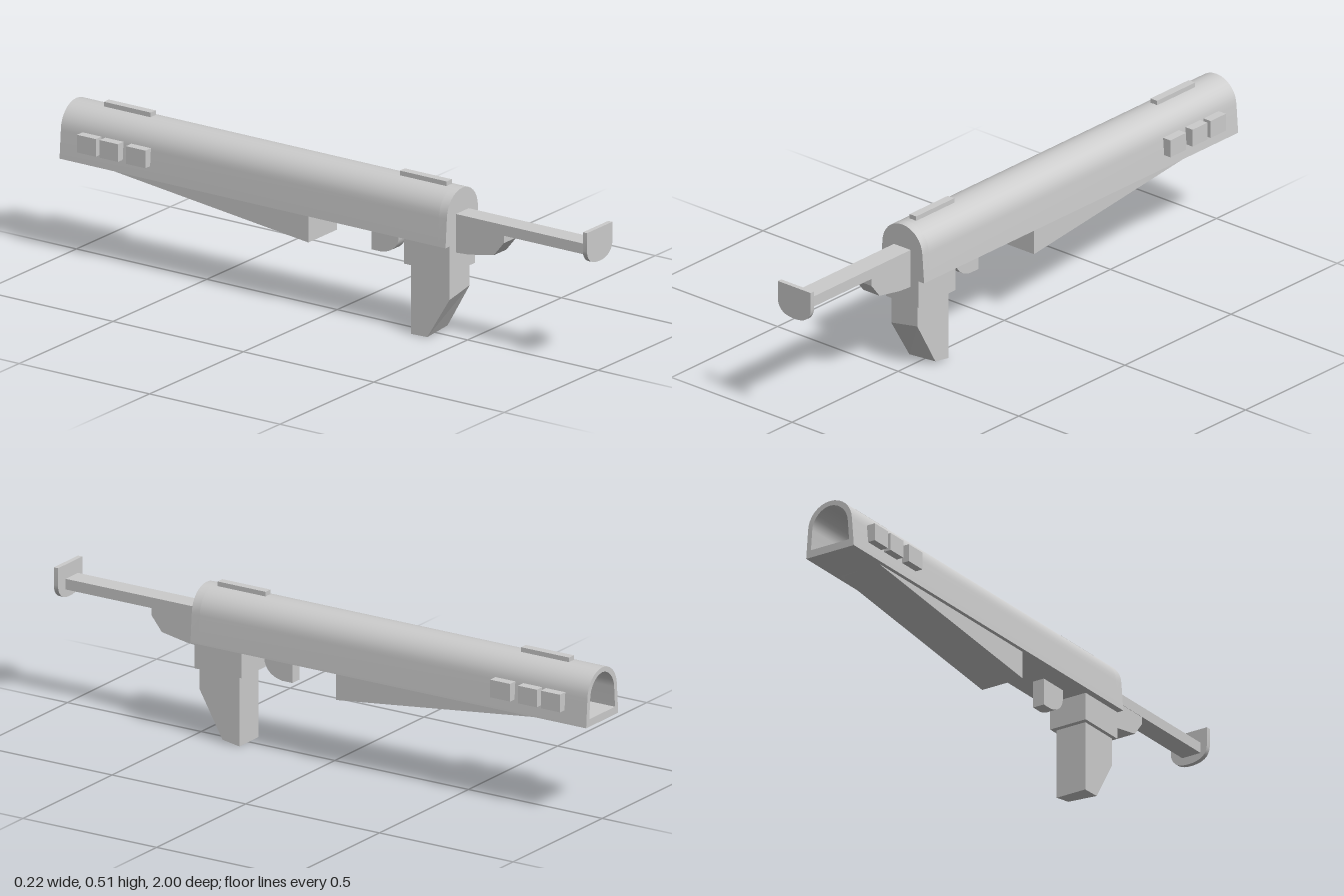
import * as THREE from 'three';
import { toCreasedNormals } from 'three/addons/utils/BufferGeometryUtils.js';

const material = new THREE.MeshStandardMaterial({ color: 0xcccccc });

export function createModel() {
  const group = new THREE.Group();

  const add = (name, geometry) => {
    const mesh = new THREE.Mesh(geometry, material);
    mesh.name = name;
    group.add(mesh);
    return mesh;
  };

  // box given by its limits on each axis
  const box = (name, x0, x1, y0, y1, z0, z1) =>
    add(name, new THREE.BoxGeometry(x1 - x0, y1 - y0, z1 - z0)
      .translate((x0 + x1) / 2, (y0 + y1) / 2, (z0 + z1) / 2));

  // front outline (x, y) extruded from z0 to z1
  const alongZ = (name, shape, z0, z1) => {
    const g = new THREE.ExtrudeGeometry(shape, { depth: z1 - z0, bevelEnabled: false, curveSegments: 8 });
    return add(name, toCreasedNormals(g.translate(0, 0, z0), 0.5));
  };

  // side outline (z, y) extruded from x0 to x1
  const alongX = (name, shape, x0, x1) => {
    const g = new THREE.ExtrudeGeometry(shape, { depth: x1 - x0, bevelEnabled: false, curveSegments: 8 });
    return add(name, toCreasedNormals(g.rotateY(-Math.PI / 2).translate(x1, 0, 0), 0.5));
  };

  const polygon = (points) => new THREE.Shape(points.map(([a, b]) => new THREE.Vector2(a, b)));

  // arched barrel section: flared sides under a round top
  const arch = (Type, half, shoulder, bottom, top) => {
    const s = new Type();
    const spring = 0.415;
    s.moveTo(-half, bottom);
    s.lineTo(half, bottom);
    s.lineTo(shoulder, spring);
    s.bezierCurveTo(shoulder - 0.001, top - 0.035, shoulder * 0.55, top, 0, top);
    s.bezierCurveTo(-shoulder * 0.55, top, -shoulder + 0.001, top - 0.035, -shoulder, spring);
    s.closePath();
    return s;
  };

  // hollow barrel, open at the back and closed at the front
  const shell = arch(THREE.Shape, 0.09, 0.083, 0.322, 0.497);
  shell.holes.push(arch(THREE.Path, 0.072, 0.067, 0.347, 0.481));
  alongZ('barrel', shell, -1, 0.45);
  alongZ('barrelCap', arch(THREE.Shape, 0.09, 0.083, 0.322, 0.497), 0.45, 0.48);

  // sight rails on top
  box('frontRail', -0.014, 0.013, 0.485, 0.511, 0.25, 0.43);
  box('rearRail', -0.014, 0.013, 0.485, 0.511, -0.885, -0.705);

  // three blocks on each flank
  for (const side of [-1, 1]) {
    for (const [z0, z1] of [[-0.73, -0.655], [-0.83, -0.76], [-0.917, -0.845]]) {
      const inner = side * 0.075, outer = side * 0.112;
      box('sideBlock', Math.min(inner, outer), Math.max(inner, outer), 0.365, 0.423, z0, z1);
    }
  }

  // stock bar with its bracket
  box('stockBar', -0.035, 0.034, 0.385, 0.42, 0.47, 0.99);
  alongX('stockBracket', polygon([
    [0.47, 0.4], [0.47, 0.292], [0.53, 0.296], [0.625, 0.313], [0.663, 0.36], [0.663, 0.4],
  ]), -0.034, 0.033);

  // end plate: straight top, rounded bottom
  const plate = new THREE.Shape();
  plate.moveTo(-0.059, 0.467);
  plate.lineTo(-0.059, 0.405);
  plate.bezierCurveTo(-0.056, 0.37, -0.03, 0.358, 0.012, 0.358);
  plate.bezierCurveTo(0.05, 0.358, 0.077, 0.375, 0.077, 0.41);
  plate.lineTo(0.077, 0.467);
  plate.closePath();
  alongZ('endPlate', plate, 0.984, 1);

  // grip block and grip
  box('gripBlock', -0.068, 0.066, 0.231, 0.33, 0.305, 0.48);
  const grip = alongX('grip', polygon([
    [0.322, 0.24], [0.322, 0], [0.385, 0.006], [0.47, 0.15], [0.47, 0.24],
  ]), -0.055, 0.053);
  // tilt the slanted front face slightly across its width
  const pos = grip.geometry.attributes.position;
  for (let i = 0; i < pos.count; i++) {
    const y = pos.getY(i);
    if (y > 0.003 && y < 0.2) pos.setY(i, y + pos.getX(i) * (y > 0.1 ? 0.18 : 0.08));
  }
  grip.geometry.computeVertexNormals();

  // trigger with a rounded lower front
  const trigger = new THREE.Shape();
  trigger.moveTo(0.145, 0.33);
  trigger.lineTo(0.145, 0.233);
  trigger.lineTo(0.185, 0.233);
  trigger.bezierCurveTo(0.225, 0.24, 0.25, 0.262, 0.25, 0.295);
  trigger.lineTo(0.25, 0.33);
  trigger.closePath();
  alongX('trigger', trigger, -0.02, 0.02);

  // tapered fore-end below the barrel
  alongX('foreEnd', polygon([
    [-0.86, 0.328], [-0.83, 0.32], [-0.055, 0.231], [-0.055, 0.328],
  ]), -0.077, 0.075);

  return group;
}
